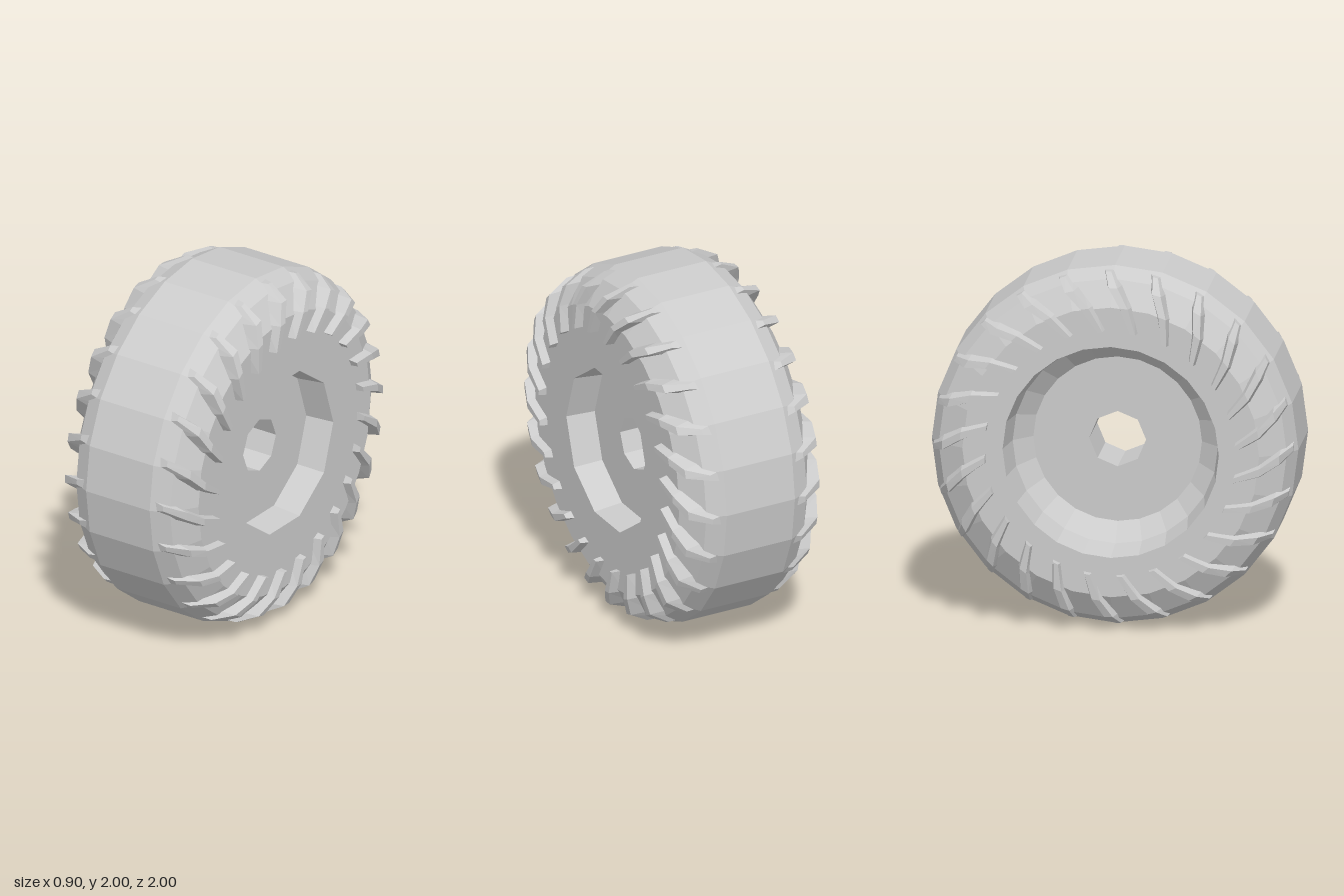
import * as THREE from 'three';

const LUGS = 24;

// Polygon outline in the wheel plane
function polygon(Type, radius, sides) {
  const path = new Type();
  for (let i = 0; i < sides; i++) {
    const a = (i / sides) * Math.PI * 2;
    if (i) path.lineTo(radius * Math.cos(a), radius * Math.sin(a));
    else path.moveTo(radius, 0);
  }
  path.closePath();
  return path;
}

// Ring outline with a polygonal hole
function ring(outer, outerSides, inner, innerSides) {
  const shape = polygon(THREE.Shape, outer, outerSides);
  shape.holes.push(polygon(THREE.Path, inner, innerSides));
  return shape;
}

// Lathe around the x axle from [radius, x] pairs
function axleLathe(profile, sides) {
  const points = profile.map(([r, x]) => new THREE.Vector2(r, x));
  return new THREE.LatheGeometry(points, sides).rotateZ(-Math.PI / 2);
}

// Swept tread lug: four-cornered sections from the sidewall out to the shoulder
function lugGeometry(side) {
  // radius, lean angle, base x, top x, base half width, top half width
  const stations = [
    [0.685, 0.0, 0.36, 0.448, 0.03, 0.014],
    [0.82, 0.09, 0.36, 0.445, 0.045, 0.022],
    [0.92, 0.17, 0.28, 0.405, 0.05, 0.024],
    [0.982, 0.21, 0.18, 0.285, 0.04, 0.015],
  ];
  const positions = [];
  const index = [];
  for (const [r, lean, base, top, wb, wt] of stations) {
    for (const [t, x] of [[-wb, base], [wb, base], [wt, top], [-wt, top]]) {
      const a = lean + t / r;
      positions.push(side * x, r * Math.sin(a), r * Math.cos(a));
    }
  }
  const tri = (a, b, c) => (side > 0 ? index.push(a, b, c) : index.push(a, c, b));
  const quad = (a, b, c, d) => { tri(a, b, c); tri(a, c, d); };
  for (let s = 0; s < stations.length - 1; s++) {
    for (let k = 0; k < 4; k++) {
      const n = (k + 1) % 4;
      quad(s * 4 + k, s * 4 + 4 + k, s * 4 + 4 + n, s * 4 + n);
    }
  }
  const e = (stations.length - 1) * 4;
  quad(0, 1, 2, 3);
  quad(e + 3, e + 2, e + 1, e);
  const geometry = new THREE.BufferGeometry();
  geometry.setAttribute('position', new THREE.Float32BufferAttribute(positions, 3));
  geometry.setIndex(index);
  geometry.computeVertexNormals();
  return geometry;
}

export function createModel() {
  const model = new THREE.Group();
  model.name = 'wheel';
  const wheel = new THREE.Group();
  wheel.name = 'tyreAndRim';
  wheel.position.y = 1;
  model.add(wheel);

  const material = new THREE.MeshStandardMaterial({ color: 0xcccccc, flatShading: true });
  const add = (name, geometry, parent = wheel) => {
    const mesh = new THREE.Mesh(geometry, material);
    mesh.name = name;
    parent.add(mesh);
    return mesh;
  };

  // Tyre: inner bowl, right sidewall, shoulders and tread
  add('tyre', axleLathe([
    [0.45, -0.09], [0.56, -0.2], [0.59, -0.4], [0.81, -0.4], [0.95, -0.31],
    [1, -0.21], [1, 0.21], [0.95, 0.31], [0.81, 0.4],
  ], 24));

  // Flat left sidewall around the shallow recess
  const sidewall = new THREE.ShapeGeometry(ring(0.81, 24, 0.46, 10));
  add('leftSidewall', sidewall.rotateY(Math.PI / 2).translate(0.4, 0, 0));
  add('recessWall', axleLathe([[0.46, 0.4], [0.44, 0.23]], 10));

  // Thick hub disc with the axle hole
  const disc = new THREE.ExtrudeGeometry(ring(0.475, 24, 0.155, 8), { depth: 0.335, bevelEnabled: false });
  add('hubDisc', disc.rotateY(Math.PI / 2).translate(-0.1, 0, 0));

  // Slanted lugs, mirrored on both shoulders
  for (const side of [1, -1]) {
    const lugs = new THREE.Group();
    lugs.name = side > 0 ? 'leftLugs' : 'rightLugs';
    wheel.add(lugs);
    const geometry = lugGeometry(side);
    for (let i = 0; i < LUGS; i++) {
      add('lug', geometry, lugs).rotation.x = -((i + 0.3) / LUGS) * Math.PI * 2;
    }
  }
  return model;
}
